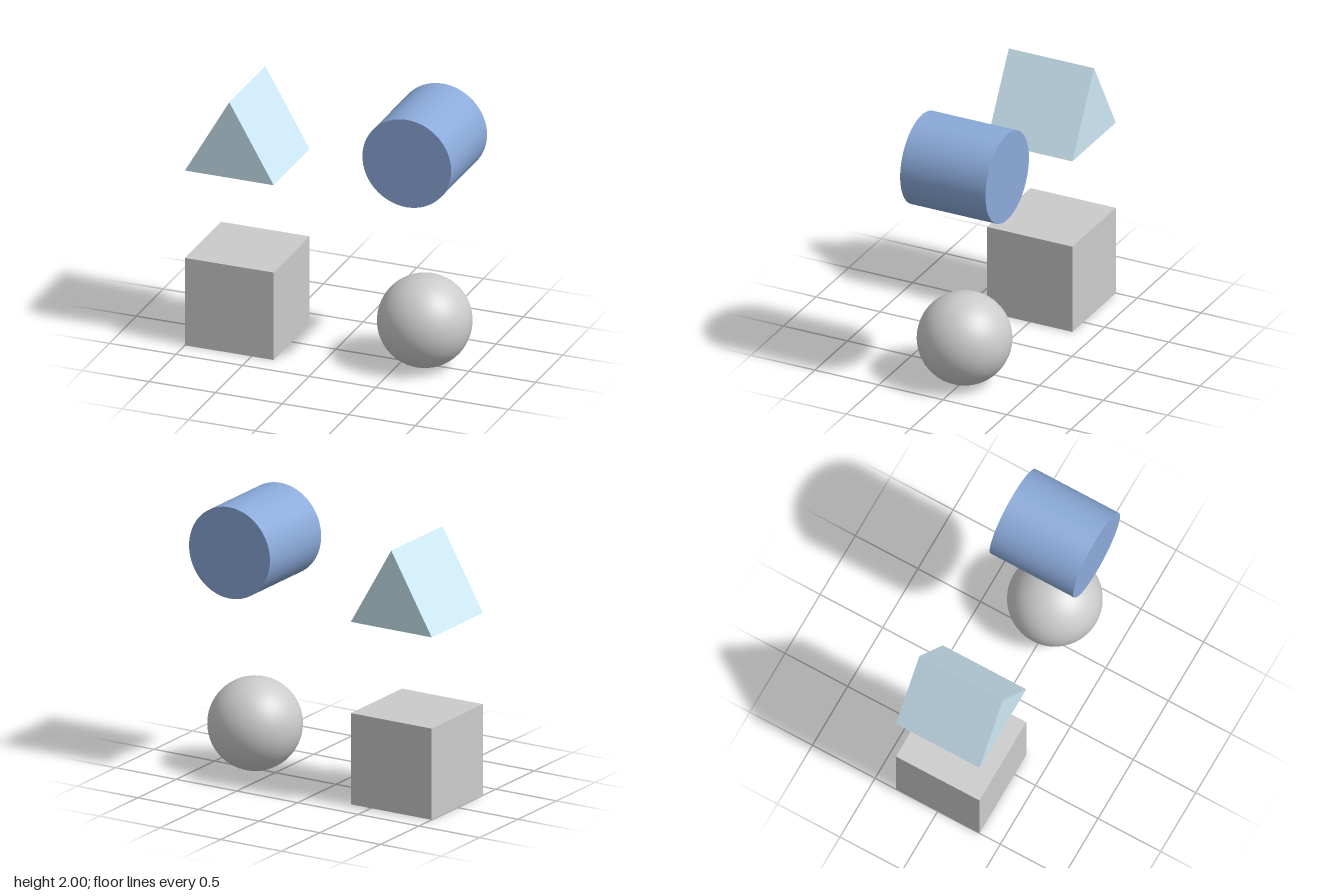
import * as THREE from 'three';

export function createModel() {
  const model = new THREE.Group();
  const size = 2 / 3, r = size / 2;
  const near = r, far = 2 - r; // heights of the lower and upper row centres

  const add = (name, geometry, color, x, y) => {
    const mesh = new THREE.Mesh(geometry, new THREE.MeshStandardMaterial({ color }));
    mesh.name = name;
    mesh.position.set(x, y, 0);
    model.add(mesh);
  };

  // Lower row: cube and sphere
  add('cube', new THREE.BoxGeometry(size, size, size), 0xcccccc, -far + 1, near);
  add('sphere', new THREE.SphereGeometry(r, 64, 40), 0xcccccc, far - 1, near);

  // Upper row: cylinder lying along z
  const cylinder = new THREE.CylinderGeometry(r, r, size, 96).rotateX(Math.PI / 2);
  add('cylinder', cylinder, 0x8baada, far - 1, far);

  // Upper row: equilateral triangular prism along z, its base level with the cylinder's underside
  const triangle = new THREE.Shape([
    new THREE.Vector2(-r, 0),
    new THREE.Vector2(r, 0),
    new THREE.Vector2(0, r * Math.sqrt(3)),
  ]);
  const prism = new THREE.ExtrudeGeometry(triangle, { depth: size, bevelEnabled: false });
  prism.translate(0, 0, -r);
  add('triangularPrism', prism, 0xcde8f5, -far + 1, far - r);

  return model;
}
